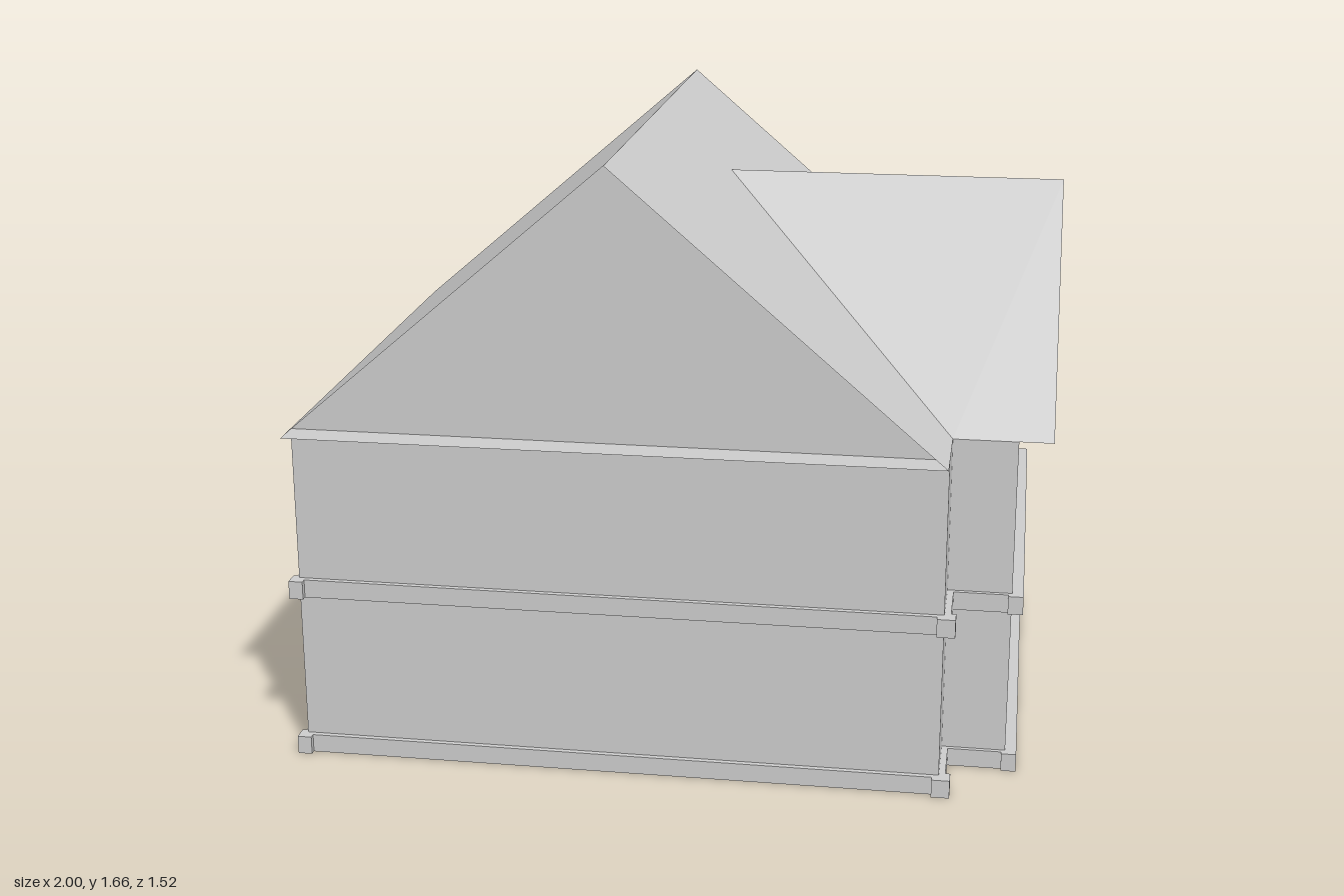
import * as THREE from 'three';

const EAVE = 0.925;
const main = { x0: -0.98, x1: 0.74, ridgeX: -0.12, ridgeY: 1.665, wallZ: 0.677, roofZ: 0.76 };
const wing = { z0: -0.677, z1: 0.505, ridgeZ: -0.086, ridgeY: 1.493, wallX: 0.91, roofX: 1.0 };

export function createModel() {
  const house = new THREE.Group();
  house.name = 'house';
  const plaster = new THREE.MeshStandardMaterial({ color: 0xcccccc, side: THREE.DoubleSide });
  plaster.name = 'plain grey';

  const add = (name, geometry) => {
    const mesh = new THREE.Mesh(geometry, plaster);
    mesh.name = name;
    house.add(mesh);
    return mesh;
  };

  // Flat convex sheet through the given corners
  const sheet = (name, ...corners) => {
    const points = [];
    for (let i = 1; i < corners.length - 1; i++) points.push(...corners[0], ...corners[i], ...corners[i + 1]);
    const g = new THREE.BufferGeometry();
    g.setAttribute('position', new THREE.Float32BufferAttribute(points, 3));
    g.computeVertexNormals();
    add(name, g);
  };

  const box = (name, x0, x1, y0, y1, z0, z1) => {
    add(name, new THREE.BoxGeometry(x1 - x0, y1 - y0, z1 - z0))
      .position.set((x0 + x1) / 2, (y0 + y1) / 2, (z0 + z1) / 2);
  };

  // Walls: L-shaped footprint with a notch at the front right (shape y is -z)
  const plan = [[main.x0, main.wallZ], [main.x1, main.wallZ], [main.x1, wing.z1],
    [wing.wallX, wing.z1], [wing.wallX, wing.z0], [main.x0, wing.z0]];
  const walls = new THREE.ExtrudeGeometry(
    new THREE.Shape(plan.map(([x, z]) => new THREE.Vector2(x, -z))), { depth: EAVE, bevelEnabled: false });
  walls.rotateX(-Math.PI / 2);
  add('walls', walls);

  // Main roof slopes
  const { ridgeX, ridgeY, roofZ } = main;
  sheet('mainRoofRight', [main.x0, EAVE, -roofZ], [main.x0, EAVE, roofZ],
    [ridgeX, ridgeY, roofZ], [ridgeX, ridgeY, -roofZ]);
  sheet('mainRoofLeft', [main.x1, EAVE, roofZ], [main.x1, EAVE, -roofZ],
    [ridgeX, ridgeY, -roofZ], [ridgeX, ridgeY, roofZ]);

  // Recessed main gables, each with a flat eave ledge
  for (const s of [1, -1]) {
    const z = s * main.wallZ;
    sheet('mainGable', [s * -0 + (s > 0 ? main.x0 : main.x1), EAVE, z],
      [s > 0 ? main.x1 : main.x0, EAVE, z], [ridgeX, ridgeY, z]);
    const [a, b] = s > 0 ? [z, roofZ] : [-roofZ, z];
    sheet('mainEaveLedge', [main.x0, EAVE, b], [main.x1, EAVE, b], [main.x1, EAVE, a], [main.x0, EAVE, a]);
  }

  // Wing roof slopes, running into the main slope along the valleys
  const meetX = ridgeX + (ridgeY - wing.ridgeY) * (main.x1 - ridgeX) / (ridgeY - EAVE);
  const ridgeIn = [meetX, wing.ridgeY, wing.ridgeZ], ridgeOut = [wing.roofX, wing.ridgeY, wing.ridgeZ];
  sheet('wingRoofFront', [main.x1, EAVE, wing.z1], [wing.roofX, EAVE, wing.z1], ridgeOut, ridgeIn);
  sheet('wingRoofBack', [wing.roofX, EAVE, wing.z0], [main.x1, EAVE, wing.z0], ridgeIn, ridgeOut);
  sheet('wingGable', [wing.wallX, EAVE, wing.z1], [wing.wallX, EAVE, wing.z0],
    [wing.wallX, wing.ridgeY, wing.ridgeZ]);
  sheet('wingEaveLedge', [wing.wallX, EAVE, wing.z1], [wing.roofX, EAVE, wing.z1],
    [wing.roofX, EAVE, wing.z0], [wing.wallX, EAVE, wing.z0]);

  // Two trim courses: thin bands along the walls, thicker blocks at the corners
  for (const y of [0, 0.455]) {
    const top = y + 0.05;
    box('frontBand', -0.97, 0.75, y, top, 0.66, 0.692);
    box('backBand', -0.97, 0.92, y, top, -0.688, -0.66);
    box('rightBand', -0.988, -0.96, y, top, -0.67, 0.67);
    box('notchSideBand', 0.72, 0.757, y, top, 0.5, 0.68);
    box('notchFrontBand', 0.73, 0.92, y, top, 0.49, 0.517);
    box('wingBand', 0.9, 0.94, y, top, -0.697, 0.528);
    box('cornerBlock', -1.0, -0.962, y, top, 0.665, 0.708);
    box('cornerBlock', -1.0, -0.962, y, top, -0.7, -0.655);
    box('cornerBlock', 0.722, 0.77, y, top, 0.665, 0.708);
  }
  return house;
}
